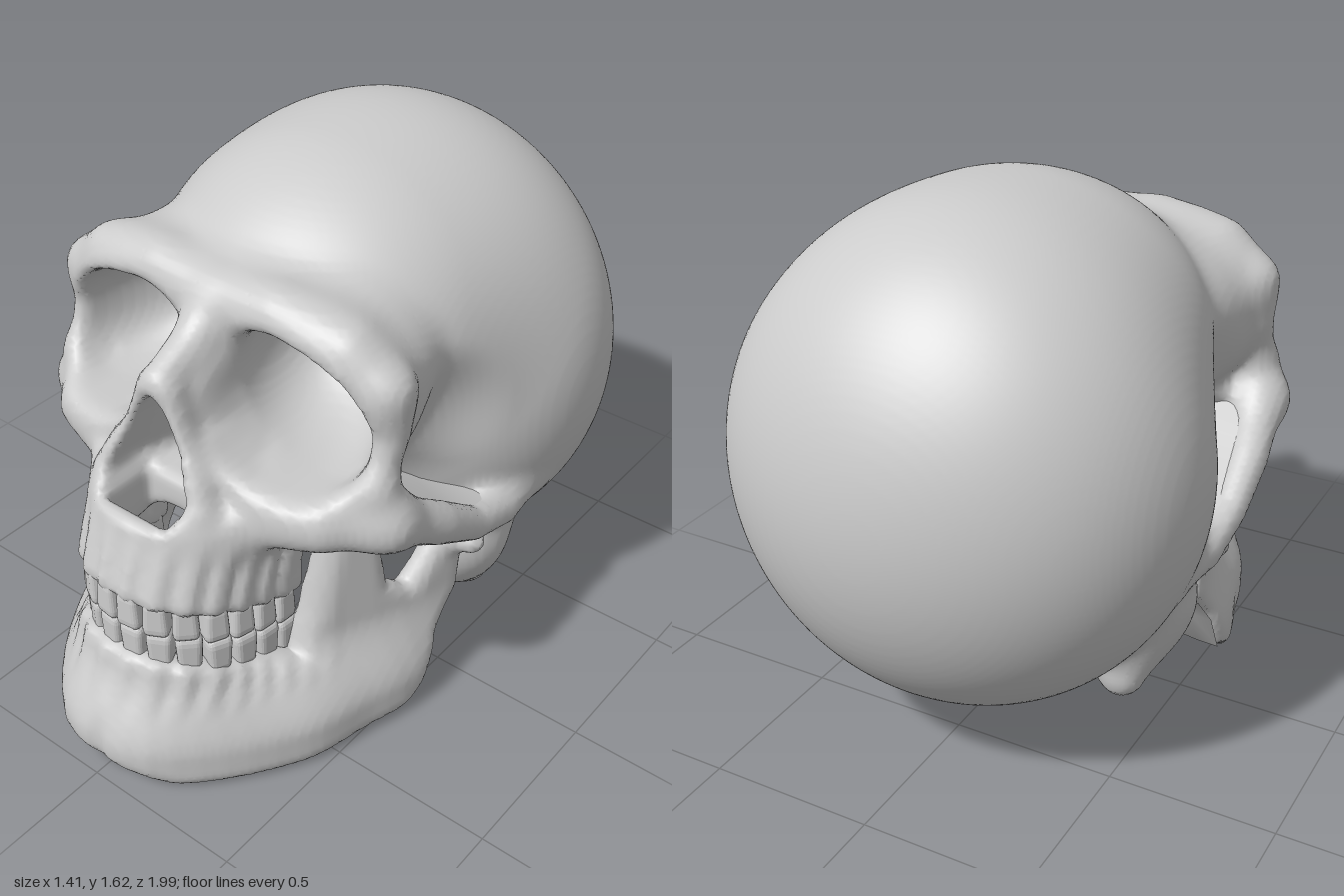
import * as THREE from 'three';
import { RoundedBoxGeometry } from 'three/addons/geometries/RoundedBoxGeometry.js';

const bone = new THREE.MeshStandardMaterial({ color: 0xcccccc });

// ---- distance helpers: negative inside, positive outside ----
const clamp = (v) => Math.min(1, Math.max(0, v));
const ease = (a, b, v) => { const t = clamp((v - a) / (b - a)); return t * t * (3 - 2 * t); };
const blend = (a, b, k) => { const h = Math.max(k - Math.abs(a - b), 0) / k; return Math.min(a, b) - h * h * k / 4; };
const carve = (a, b, k) => -blend(-a, b, k);   // remove b from a
const both = (a, b, k) => -blend(-a, -b, k);   // overlap of a and b

function ellipsoid(x, y, z, cx, cy, cz, rx, ry, rz) {
  const a = (x - cx) / rx, b = (y - cy) / ry, c = (z - cz) / rz, n = Math.hypot(a, b, c);
  return n * (n - 1) / Math.max(Math.hypot(a / rx, b / ry, c / rz), 1e-6);
}
// chain of tapered rods through [x, y, z, radius]
function rods(x, y, z, pts) {
  let best = 9;
  for (let i = 0; i < pts.length - 1; i++) {
    const [ax, ay, az, ar] = pts[i], [bx, by, bz, br] = pts[i + 1];
    const dx = bx - ax, dy = by - ay, dz = bz - az;
    const t = clamp(((x - ax) * dx + (y - ay) * dy + (z - az) * dz) / (dx * dx + dy * dy + dz * dz));
    best = Math.min(best, Math.hypot(x - ax - dx * t, y - ay - dy * t, z - az - dz * t) - ar - (br - ar) * t);
  }
  return best;
}
// plan distance to a polyline, with the length along it
function path(x, z, pts) {
  let best = 9, along = 0, run = 0;
  for (let i = 0; i < pts.length - 1; i++) {
    const [ax, az] = pts[i], dx = pts[i + 1][0] - ax, dz = pts[i + 1][1] - az, len = Math.hypot(dx, dz);
    const t = clamp(((x - ax) * dx + (z - az) * dz) / (len * len)), d = Math.hypot(x - ax - dx * t, z - az - dz * t);
    if (d < best) { best = d; along = run + t * len; }
    run += len;
  }
  return [best, along];
}
const smooth = (pts) => new THREE.SplineCurve(pts.map(([x, z]) => new THREE.Vector2(x, z))).getPoints(18).map((p) => [p.x, p.y]);

// signed distance to a closed outline
function polygon(px, py, pts) {
  let s = 1;
  for (let i = 0, j = pts.length - 1; i < pts.length; j = i++) {
    const [ax, ay] = pts[i], [bx, by] = pts[j];
    if ((ay > py) !== (by > py) && px < ax + (bx - ax) * (py - ay) / (by - ay)) s = -s;
  }
  return s * path(px, py, [...pts, pts[0]])[0];
}
function surface(pos, index) {
  const geo = new THREE.BufferGeometry();
  geo.setAttribute('position', new THREE.Float32BufferAttribute(pos, 3));
  geo.setIndex(index);
  geo.computeVertexNormals();
  return geo;
}
// sheet through rows of points
function sheet(rows) {
  const w = rows[0].length, index = [];
  for (let i = 0; i < rows.length - 1; i++) for (let j = 0; j < w - 1; j++) {
    const a = i * w + j;
    index.push(a, a + 1, a + w, a + 1, a + w + 1, a + w);
  }
  return surface(rows.flat(2), index);
}
// mirrored skin over a distance rule: one vertex per crossed cell
function skin(rule, halfX, yMin, yMax, zMin, zMax, keep = () => true) {
  const h = 0.0165, N = Math.ceil(halfX / h), n = [2 * N + 1, Math.ceil((yMax - yMin) / h) + 1, Math.ceil((zMax - zMin) / h) + 1];
  const step = [1, n[0], n[0] * n[1]], field = new Float32Array(n[0] * n[1] * n[2]);
  for (let k = 0; k < n[2]; k++) for (let j = 0; j < n[1]; j++) for (let i = 0; i <= N; i++) {
    const row = j * step[1] + k * step[2];
    field[row + N + i] = field[row + N - i] = rule(i * h, yMin + j * h, zMin + k * h);
  }
  const vert = new Int32Array(field.length).fill(-1), pos = [], index = [];
  for (let k = 0; k < n[2] - 1; k++) for (let j = 0; j < n[1] - 1; j++) for (let i = 0; i < n[0] - 1; i++) {
    const at = i + j * step[1] + k * step[2], sum = [0, 0, 0];
    let hits = 0;
    for (let c = 0; c < 8; c++) for (let a = 0; a < 3; a++) {
      if (c >> a & 1) continue;
      const o = [c & 1, c >> 1 & 1, c >> 2 & 1];
      const p = at + o[0] + o[1] * step[1] + o[2] * step[2], u = field[p], v = field[p + step[a]];
      if ((u < 0) === (v < 0)) continue;
      o[a] = u / (u - v);
      for (let q = 0; q < 3; q++) sum[q] += o[q];
      hits++;
    }
    if (!hits) continue;
    vert[at] = pos.length / 3;
    pos.push((i - N + sum[0] / hits) * h, yMin + (j + sum[1] / hits) * h, zMin + (k + sum[2] / hits) * h);
  }
  for (let k = 1; k < n[2] - 1; k++) for (let j = 1; j < n[1] - 1; j++) for (let i = 1; i < n[0] - 1; i++) {
    const at = i + j * step[1] + k * step[2];
    for (let a = 0; a < 3; a++) {
      const inside = field[at] < 0;
      if (inside === (field[at + step[a]] < 0)) continue;
      const b = step[(a + 1) % 3], c = step[(a + 2) % 3], q = [vert[at - b - c], vert[at - c], vert[at], vert[at - b]];
      if (!inside) q.reverse();
      if (keep(pos[q[0] * 3], pos[q[0] * 3 + 1], pos[q[0] * 3 + 2])) index.push(q[0], q[1], q[2], q[0], q[2], q[3]);
    }
  }
  return surface(pos, index);
}

// ---- landmarks of the left half ----
const toothArch = smooth([[0, 0.84], [0.1, 0.82], [0.19, 0.745], [0.24, 0.62], [0.26, 0.45]]);
const brow = [[0, 1.335, 0.41, 0.06], [0.2, 1.355, 0.4, 0.06], [0.42, 1.32, 0.38, 0.055], [0.53, 1.23, 0.36, 0.05]];
const outerRim = [[0.53, 1.23, 0.36, 0.05], [0.545, 1.1, 0.36, 0.045], [0.53, 0.95, 0.41, 0.055]];
const lowerRim = [[0.53, 0.95, 0.41, 0.055], [0.4, 0.885, 0.52, 0.055], [0.25, 0.9, 0.57, 0.055], [0.13, 0.99, 0.59, 0.05]];
const cheek = [[0.25, 0.8, 0.57, 0.07], [0.44, 0.84, 0.51, 0.075], [0.56, 0.84, 0.39, 0.07]];
const cheekArch = [[0.56, 0.84, 0.39, 0.07], [0.598, 0.73, 0.2, 0.062], [0.61, 0.63, 0.04, 0.05], [0.605, 0.58, -0.13, 0.05], [0.58, 0.58, -0.3, 0.03]];
const mastoid = [[0.46, 0.4, -0.17, 0.1], [0.42, 0.185, -0.26, 0.07]];
const noseBridge = [[0, 1.32, 0.4, 0.07], [0, 1.235, 0.52, 0.055], [0, 1.185, 0.64, 0.045]];
const noseRim = [[0.03, 1.15, 0.64, 0.042], [0.1, 1.0, 0.645, 0.045], [0.16, 0.86, 0.68, 0.05], [0.06, 0.81, 0.74, 0.05], [0, 0.81, 0.76, 0.04]];

function skullRule(x, y, z) {
  // braincase and forehead, hollowed at the temples
  let d = ellipsoid(x, y, z, 0, 0.87, -0.41, 0.705, 0.725, 0.59);
  d = blend(d, ellipsoid(x, y, z, 0, 1.11, -0.18, 0.58, 0.505, 0.62), 0.1);
  d = carve(d, ellipsoid(x, y, z, 0.68, 0.97, 0.16, 0.21, 0.25, 0.22), 0.08);
  d = blend(d, ellipsoid(x, y, z, 0, 1.2, 0.18, 0.51, 0.22, 0.27), 0.06);
  // eye housing, brow, cheeks and ear region
  d = blend(d, ellipsoid(x, y, z, 0.32, 1.12, 0.3, 0.235, 0.25, 0.22), 0.1);
  d = blend(d, ellipsoid(x, y, z, 0.3, 0.88, 0.4, 0.22, 0.1, 0.2), 0.05);
  d = blend(d, rods(x, y, z, brow), 0.12);
  for (const part of [outerRim, lowerRim, cheek]) d = blend(d, rods(x, y, z, part), 0.06);
  d = blend(d, ellipsoid(x, y, z, 0.36, 0.43, -0.17, 0.23, 0.25, 0.19), 0.08);
  for (const part of [cheekArch, mastoid]) d = blend(d, rods(x, y, z, part), 0.08);
  // nose and upper jaw with root ridges
  d = blend(d, ellipsoid(x, y, z, 0, 1.05, 0.42, 0.14, 0.22, 0.24), 0.05);
  d = blend(d, ellipsoid(x, y, z, 0.13, 0.93, 0.5, 0.09, 0.12, 0.14), 0.04);
  d = blend(d, ellipsoid(x, y, z, 0, 0.77, 0.52, 0.3, 0.16, 0.26), 0.06);
  const [gap, s] = path(x, z + Math.max(y - 0.58, 0) * 0.32, toothArch);
  const ridge = 0.007 * Math.cos(Math.PI * 2 * (s / 0.074 - 0.5)) * ease(0.82, 0.68, y);
  d = blend(d, both(gap - 0.05 - ridge, Math.max(0.585 - (0.85 - z) * 0.28 - y, y - 0.84), 0.04), 0.05);
  for (const part of [noseBridge, noseRim]) d = blend(d, rods(x, y, z, part), 0.04);
  // palate, nasal opening and eye sockets
  d = carve(d, ellipsoid(x, y, z, 0, 0.52, 0.55, 0.19, 0.2, 0.22), 0.03);
  const noseWidth = (0.02 + 0.125 * Math.pow(clamp((1.15 - y) / 0.28), 0.85)) * (1 - 2 * Math.max(0.62 - z, 0));
  d = carve(d, both(both(x - noseWidth, Math.max(0.825 - y, y - 1.155), 0.07), 0.42 - z, 0.06), 0.025);
  d = carve(d, Math.max(x - 0.11, Math.abs(z - 0.68) - 0.08, y - 0.9), 0.03);
  const m = Math.min(z - 0.42, 0);
  const u = Math.abs(x - 0.305 - 0.25 * m) / 0.212, v = Math.abs(y - 1.12 + 0.18 * (x - 0.305)) / 0.19, w = -m / 0.34;
  return carve(d, (Math.pow(u ** 2.35 + v ** 2.35 + w ** 2.35, 1 / 2.35) - 1) * 0.2, 0.04);
}

const jawLow = smooth([[0, 0.93], [0.13, 0.895], [0.27, 0.76], [0.39, 0.58], [0.48, 0.38], [0.53, 0.2], [0.54, -0.05]]);
const jawHigh = smooth([[0, 0.845], [0.1, 0.825], [0.195, 0.745], [0.25, 0.6], [0.36, 0.42], [0.46, 0.2], [0.53, -0.05]]);
const jawSide = [[1.06, 0.09], [1.06, 0.41], [0.85, 0.41], [0.5, 0.31], [0.46, 0.45], [0.41, 0.74], [0.33, 0.75],
  [0.27, 0.66], [0.24, 0.47], [0.17, 0.42], [0.07, 0.55], [-0.03, 0.55], [-0.01, 0.33], [0.09, 0.22],
  [0.16, 0.07], [0.24, 0.015], [0.6, 0], [0.9, 0.005]];

function jawRule(x, y, z) {
  const k = ease(0.12, 0.38, y);
  const [gap, s] = path(x, z, jawLow.map(([a, b], i) => [a + (jawHigh[i][0] - a) * k, b + (jawHigh[i][1] - b) * k]));
  const front = ease(0.35, 0.6, z);
  const ridge = 0.006 * Math.cos(Math.PI * 2 * (s / 0.074 - 0.5)) * front * ease(0.22, 0.33, y);
  const cleft = 0.018 * Math.exp(-((x / 0.03) ** 2)) * ease(0.25, 0.12, y);
  const thick = 0.042 + 0.028 * front * (1 - 0.5 * k) + ridge - cleft;
  const d = both(gap - thick, polygon(z, y, jawSide), 0.05);
  return blend(d, rods(x, y, z, [[0.48, 0.53, 0.01, 0.045], [0.59, 0.53, 0, 0.04]]), 0.04);
}

// underside: half width, height and depth of each row, vaulted between the jaw edges
const underRows = [[0.03, 0.025, 0.96], [0.18, 0.01, 0.9], [0.31, 0.004, 0.77], [0.42, 0.004, 0.59], [0.51, 0.005, 0.39],
  [0.56, 0.015, 0.24], [0.56, 0.07, 0.15], [0.56, 0.21, 0.08], [0.55, 0.32, -0.01], [0.5, 0.3, -0.1], [0.44, 0.19, -0.28]];
const underside = () => sheet(underRows.map(([hw, y, z]) => Array.from({ length: 17 }, (_, j) => {
  const u = 1 - j / 8;
  return [u * hw, y + 0.12 * hw * (1 - u * u) ** 2, z];
})));

// one row of teeth along the arch; dir +1 has its root upward
function teeth(name, dir, level, setBack) {
  const row = new THREE.Group();
  row.name = name;
  const geo = new RoundedBoxGeometry(1, 1, 1, 2, 0.24), p = geo.attributes.position;
  for (let i = 0; i < p.count; i++) {
    const g = 1 - 0.2 * (p.getY(i) + 0.5);
    p.setXYZ(i, p.getX(i) * g, p.getY(i), p.getZ(i) * (g * 0.5 + 0.5));
  }
  geo.computeVertexNormals();
  const half = toothArch.map(([x, z]) => new THREE.Vector3(x, 0, z - setBack));
  const curve = new THREE.CatmullRomCurve3([...half.slice(1).reverse().map((v) => new THREE.Vector3(-v.x, 0, v.z)), ...half]);
  for (let i = 0; i < 14; i++) {
    const t = (i + 0.5) / 14, at = curve.getPointAt(t), along = curve.getTangentAt(t), molar = Math.abs(i - 6.5) > 3;
    const tooth = new THREE.Mesh(geo, bone);
    tooth.name = molar ? 'molar' : 'frontTooth';
    tooth.position.set(at.x, level - (0.85 - at.z) * 0.28, at.z);
    tooth.rotation.set(dir > 0 ? 0 : Math.PI, Math.atan2(-along.z, along.x), 0, 'YXZ');
    tooth.scale.set(0.081, 0.13, molar ? 0.1 : 0.08);
    row.add(tooth);
  }
  return row;
}

export function createModel() {
  const model = new THREE.Group();
  model.name = 'skull';
  const add = (name, geo) => { const part = new THREE.Mesh(geo, bone); part.name = name; model.add(part); };
  // the braincase floor is left out above the underside sheet
  const keep = (x, y, z) => !(Math.abs(x) < 0.42 && y < 0.7 && z < 0.28 && z > -0.28);
  add('craniumAndFace', skin(skullRule, 0.76, 0.05, 1.7, -1.06, 0.96, keep));
  add('lowerJaw', skin(jawRule, 0.68, -0.05, 0.82, -0.12, 1.06));
  add('underside', underside());
  // temple floors between cheek arch and braincase
  add('leftTempleFloor', sheet(cheekArch.map(([x, y, z, r]) => [[0.38, y + 0.08, z], [x + 0.4 * r, y + 0.9 * r, z]])));
  add('rightTempleFloor', sheet(cheekArch.map(([x, y, z, r]) => [[-x - 0.4 * r, y + 0.9 * r, z], [-0.38, y + 0.08, z]])));
  model.add(teeth('upperTeeth', 1, 0.565, 0), teeth('lowerTeeth', -1, 0.445, 0.008));
  return model;
}
